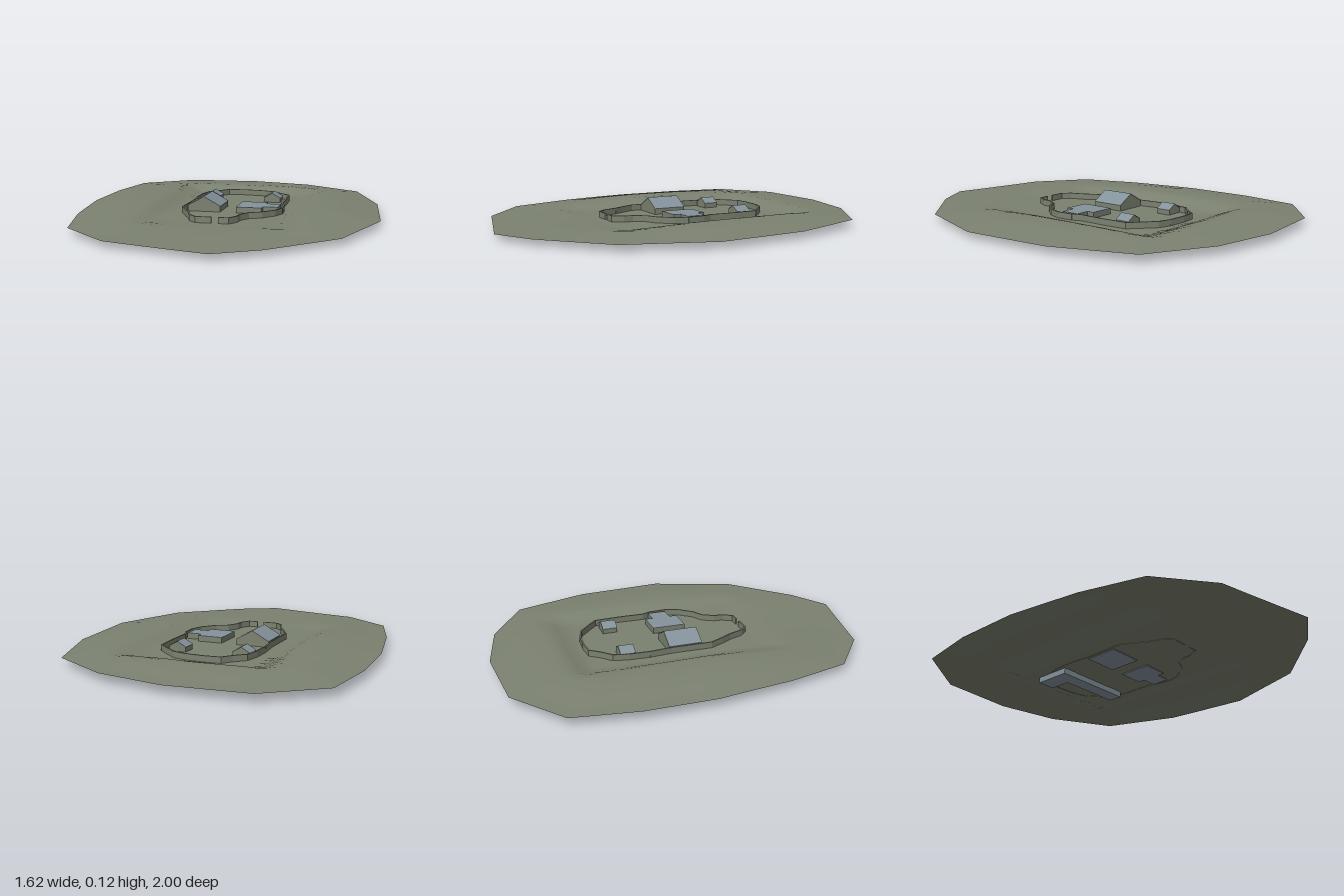
import * as THREE from 'three';

const FLOOR = 0.033;

export function createModel() {
  const root = new THREE.Group();
  root.name = 'walledSettlement';
  const green = new THREE.MeshStandardMaterial({ name: 'mossGreen', color: 0x7b8170, side: THREE.DoubleSide });
  const slate = new THREE.MeshStandardMaterial({ name: 'slateBlue', color: 0x84929b, side: THREE.DoubleSide });
  const add = (name, geometry, material, parent = root) => {
    const mesh = new THREE.Mesh(geometry, material);
    mesh.name = name;
    parent.add(mesh);
    return mesh;
  };
  // box given by its x, y and z limits
  const box = (name, x0, x1, y0, y1, z0, z1, material, parent) =>
    add(name, new THREE.BoxGeometry(x1 - x0, y1 - y0, z1 - z0), material, parent)
      .position.set((x0 + x1) / 2, (y0 + y1) / 2, (z0 + z1) / 2);

  add('terrain', terrainGeometry(), green);

  // boundary wall with a gate gap at the front
  const path = [
    [0.02, 0.37], [0.07, 0.37], [0.1, 0.32], [0.105, 0.27], [0.14, 0.21], [0.2, 0.18], [0.26, 0.11],
    [0.285, 0.04], [0.28, -0.05], [0.26, -0.1], [0.262, -0.24], [0.255, -0.38], [0.2, -0.43], [0.13, -0.49],
    [0.06, -0.51], [-0.04, -0.517], [-0.13, -0.51], [-0.17, -0.46], [-0.225, -0.41], [-0.243, -0.33],
    [-0.248, -0.22], [-0.237, -0.1], [-0.24, 0.12], [-0.2, 0.2], [-0.17, 0.25], [-0.14, 0.33], [-0.1, 0.37], [-0.02, 0.37],
  ];
  const wall = new THREE.Group();
  wall.name = 'boundaryWall';
  root.add(wall);
  for (let i = 0; i < path.length - 1; i++) {
    const [ax, az] = path[i], [bx, bz] = path[i + 1];
    const piece = add('wallSection', new THREE.BoxGeometry(Math.hypot(bx - ax, bz - az) + 0.004, 0.034, 0.008), green, wall);
    piece.position.set((ax + bx) / 2, 0.048, (az + bz) / 2);
    piece.rotation.y = -Math.atan2(bz - az, bx - ax);
  }

  // gabled building with the ridge along z
  const gabled = (name, x0, x1, z0, z1, eave, ridge) => {
    const house = new THREE.Group();
    house.name = name;
    root.add(house);
    const xm = (x0 + x1) / 2, inset = 0.004;
    const shape = new THREE.Shape();
    [[x0 + inset, 0.03], [x1 - inset, 0.03], [x1 - inset, eave], [xm, ridge - 0.002], [x0 + inset, eave]]
      .forEach(([x, y], i) => (i ? shape.lineTo(x, y) : shape.moveTo(x, y)));
    const body = new THREE.ExtrudeGeometry(shape, { depth: z1 - z0 - 0.002, bevelEnabled: false });
    add('walls', body, green, house).position.z = z0 + 0.001;
    // two thin sloping roof planes
    const roof = new THREE.BufferGeometry();
    const quad = (a, b) => [
      a[0], a[1], z1, b[0], b[1], z1, b[0], b[1], z0,
      a[0], a[1], z1, b[0], b[1], z0, a[0], a[1], z0,
    ];
    const left = quad([x0, eave], [xm, ridge]), right = quad([xm, ridge], [x1, eave]);
    roof.setAttribute('position', new THREE.Float32BufferAttribute([...left, ...right], 3));
    roof.computeVertexNormals();
    add('roof', roof, slate, house);
    box('foundation', x0, x1, 0.028, 0.031, z0, z1, slate, house);
  };
  gabled('mainHouse', -0.228, -0.042, -0.11, 0.07, 0.065, 0.116);
  gabled('leftHut', 0.122, 0.222, -0.37, -0.29, 0.06, 0.088);
  gabled('rightHut', -0.228, -0.128, -0.37, -0.29, 0.06, 0.088);

  // flat-roofed hall with a smaller wing
  const hall = new THREE.Group();
  hall.name = 'hall';
  root.add(hall);
  for (const [x0, x1, z0, z1] of [[0.04, 0.18, -0.11, 0.07], [0.18, 0.26, -0.07, 0.03]]) {
    box('hallWalls', x0, x1, 0.03, 0.06, z0, z1, green, hall);
    box('hallRoof', x0, x1, 0.06, 0.064, z0, z1, slate, hall);
    box('hallFoundation', x0, x1, 0.028, 0.031, z0, z1, slate, hall);
  }

  // L-shaped cellar under the huts
  box('cellarPassage', -0.228, 0.222, 0, 0.031, -0.37, -0.29, slate);
  box('cellarArm', -0.228, -0.128, 0, 0.031, -0.49, -0.37, slate);
  return root;
}

// ground height: level yard, hills at the back and sides, falling to the rim
function height(x, z, f) {
  const r = Math.hypot(x, z) || 1;
  const c2 = (x / r) ** 2, s2 = (z / r) ** 2;
  const hill = c2 * (x < 0 ? 0.042 : 0.032) + s2 * (z < 0 ? 0.036 : 0.004);
  const rim = c2 * (x < 0 ? 0.011 : 0.004) + s2 * (z < 0 ? 0.012 : -0.002);
  const d = Math.max(Math.abs(x) - 0.3, Math.abs(z + 0.07) - 0.46);
  const rise = THREE.MathUtils.smoothstep(d, 0, 0.14);
  const fall = THREE.MathUtils.smoothstep(f, 0.66, 1.08) / THREE.MathUtils.smoothstep(1, 0.66, 1.08);
  return FLOOR + rise * THREE.MathUtils.lerp(hill, rim, fall);
}

// rings shrinking from the outline to the middle
function terrainGeometry() {
  const outline = [
    [-0.06, -1], [0.29, -0.93], [0.62, -0.74], [0.765, -0.33], [0.805, 0.15], [0.65, 0.59], [0.34, 0.88],
    [0.13, 1], [-0.4, 0.875], [-0.66, 0.66], [-0.75, 0.33], [-0.81, -0.07], [-0.81, -0.43], [-0.76, -0.76], [-0.48, -0.97],
  ];
  const rim = [];
  outline.forEach(([x, z], i) => {
    const [nx, nz] = outline[(i + 1) % outline.length];
    for (let k = 0; k < 5; k++) rim.push([x + ((nx - x) * k) / 5, z + ((nz - z) * k) / 5]);
  });
  const n = rim.length, rings = 24, positions = [], index = [];
  for (let j = 0; j <= rings; j++) {
    const f = j / rings;
    for (const [x, z] of rim) positions.push(x * f, height(x * f, z * f, f), z * f);
  }
  for (let j = 0; j < rings; j++) {
    for (let i = 0; i < n; i++) {
      const k = (i + 1) % n;
      const a = j * n + i, b = j * n + k, c = a + n, d = b + n;
      if (j) index.push(a, b, c);
      index.push(b, d, c);
    }
  }
  const geometry = new THREE.BufferGeometry();
  geometry.setAttribute('position', new THREE.Float32BufferAttribute(positions, 3));
  geometry.setIndex(index);
  // keep the upper side as the front face
  geometry.computeVertexNormals();
  if (geometry.attributes.normal.getY(n * 3) < 0) {
    geometry.setIndex(index.reverse());
    geometry.computeVertexNormals();
  }
  // collapsed centre points share one upward normal
  for (let i = 0; i < n; i++) geometry.attributes.normal.setXYZ(i, 0, 1, 0);
  return geometry;
}
